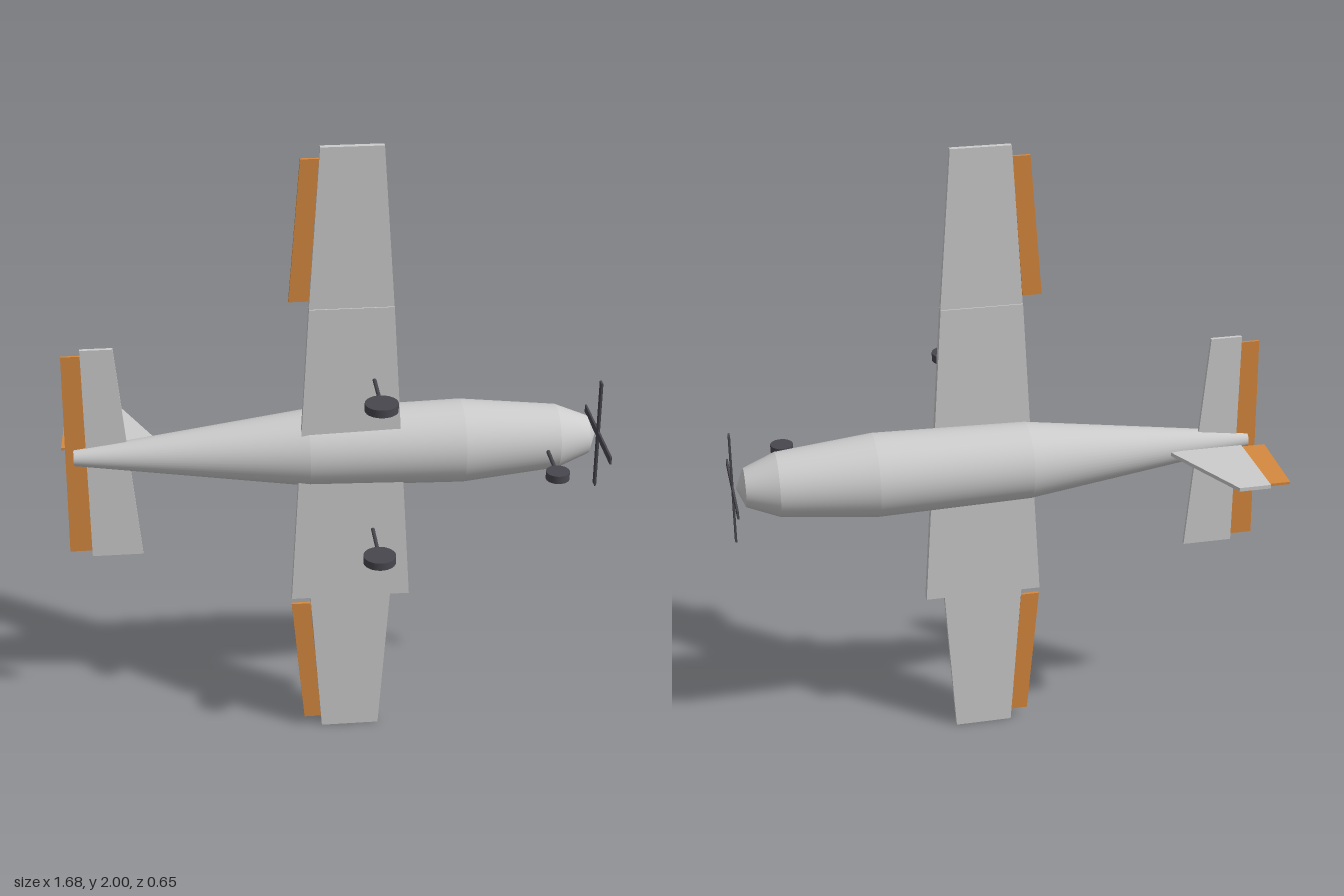
import * as THREE from 'three';

export function createModel() {
  const model = new THREE.Group();
  model.name = 'aeroplane';

  const mat = (name, color) => {
    const m = new THREE.MeshStandardMaterial({ color });
    m.name = name;
    return m;
  };
  const grey = mat('light grey skin', 0xcccccc);
  const orange = mat('orange control surface', 0xd6893f);
  const dark = mat('dark rubber and metal', 0x48474e);

  const add = (name, geometry, material, x = 0, y = 0, z = 0, parent = model) => {
    const mesh = new THREE.Mesh(geometry, material);
    mesh.name = name;
    mesh.position.set(x, y, z);
    parent.add(mesh);
    return mesh;
  };

  // Flat plate from an outline in the x-y plane, centred on z = 0
  const plate = (points, thickness) => {
    const shape = new THREE.Shape(points.map(([x, y]) => new THREE.Vector2(x, y)));
    return new THREE.ExtrudeGeometry(shape, { depth: thickness, bevelEnabled: false })
      .translate(0, 0, -thickness / 2);
  };

  // Trapezoid with edges parallel to x at heights y0 and y1
  const panel = (y0, a0, b0, y1, a1, b1, thickness) =>
    plate([[a0, y0], [b0, y0], [b1, y1], [a1, y1]], thickness);

  // Fuselage: nose points along +x, the roof faces -z
  const axisZ = 0.013;
  const fuselage = new THREE.Group();
  fuselage.name = 'fuselage';
  fuselage.position.set(0, 1, axisZ);
  model.add(fuselage);
  const stations = [[-0.8, 0.025], [-0.08, 0.12], [0.4, 0.13], [0.7, 0.1], [0.8, 0.06], [0.826, 0]];
  const sections = ['tailCone', 'cabin', 'forwardBody', 'cowling', 'noseCone'];
  sections.forEach((name, i) => {
    const [x0, r0] = stations[i];
    const [x1, r1] = stations[i + 1];
    const g = new THREE.CylinderGeometry(r1, r0, x1 - x0, 48, 1, true).rotateZ(-Math.PI / 2);
    add(name, g, grey, (x0 + x1) / 2, 0, 0, fuselage);
  });
  add('tailCap', new THREE.CircleGeometry(0.025, 48).rotateY(-Math.PI / 2), grey, -0.8, 0, 0, fuselage);

  // Wings: the inner panel narrows on one side and widens on the other
  const wingZ = 0.084;
  add('innerWingLeft', panel(1, -0.11, 0.205, 1.5, -0.08, 0.175, 0.026), grey, 0, 0, wingZ);
  add('innerWingRight', panel(0.5, -0.14, 0.235, 1, -0.11, 0.205, 0.026), grey, 0, 0, wingZ);
  add('outerWingLeft', panel(1.5, -0.08, 0.175, 2, -0.045, 0.14, 0.018), grey, 0, 0, wingZ);
  add('outerWingRight', panel(0, -0.045, 0.14, 0.5, -0.08, 0.175, 0.018), grey, 0, 0, wingZ);
  add('aileronLeft', panel(1.525, -0.14, -0.08, 1.965, -0.102, -0.048, 0.01), orange, 0, 0, wingZ);
  add('aileronRight', panel(0.035, -0.102, -0.048, 0.475, -0.14, -0.08, 0.01), orange, 0, 0, wingZ);

  // Tailplane and elevator
  add('tailplane', panel(0.645, -0.762, -0.603, 1.36, -0.762, -0.663, 0.012), grey, 0, 0, 0.006);
  add('elevator', panel(0.665, -0.831, -0.762, 1.34, -0.82, -0.762, 0.008), orange, 0, 0, 0.006);

  // Fin and rudder: outlines are given as x, z
  const upright = (points, thickness) => plate(points, thickness).rotateX(Math.PI / 2);
  add('fin', upright([[-0.765, -0.042], [-0.53, -0.042], [-0.665, -0.326], [-0.765, -0.326]], 0.012),
    grey, 0, 1, 0);
  add('rudder', upright([[-0.84, -0.048], [-0.765, -0.048], [-0.765, -0.315], [-0.83, -0.315]], 0.008),
    orange, 0, 1, 0);

  // Landing gear: strut along z, wheel axle along y
  const gear = (name, x, y, top, z, radius) => {
    const g = new THREE.Group();
    g.name = name;
    g.position.set(x, y, 0);
    model.add(g);
    const strut = new THREE.CylinderGeometry(0.006, 0.006, z - top, 16).rotateX(Math.PI / 2);
    add('strut', strut, dark, 0, 0, (z + top) / 2, g);
    add('wheel', new THREE.CylinderGeometry(radius, radius, 0.025, 32), dark, 0, 0, z, g);
  };
  gear('mainGearLeft', 0.117, 1.262, wingZ, 0.275, 0.05);
  gear('mainGearRight', 0.117, 0.742, wingZ, 0.275, 0.05);
  gear('noseGear', 0.657, 1, 0.09, 0.265, 0.036);

  // Propeller: two crossed blades
  const propeller = new THREE.Group();
  propeller.name = 'propeller';
  propeller.position.set(0.836, 1, axisZ + 0.002);
  model.add(propeller);
  add('bladePairUpright', new THREE.BoxGeometry(0.006, 0.36, 0.025), dark, 0, 0, 0, propeller);
  add('bladePairAcross', new THREE.BoxGeometry(0.006, 0.025, 0.36), dark, 0, 0, 0, propeller);

  return model;
}
